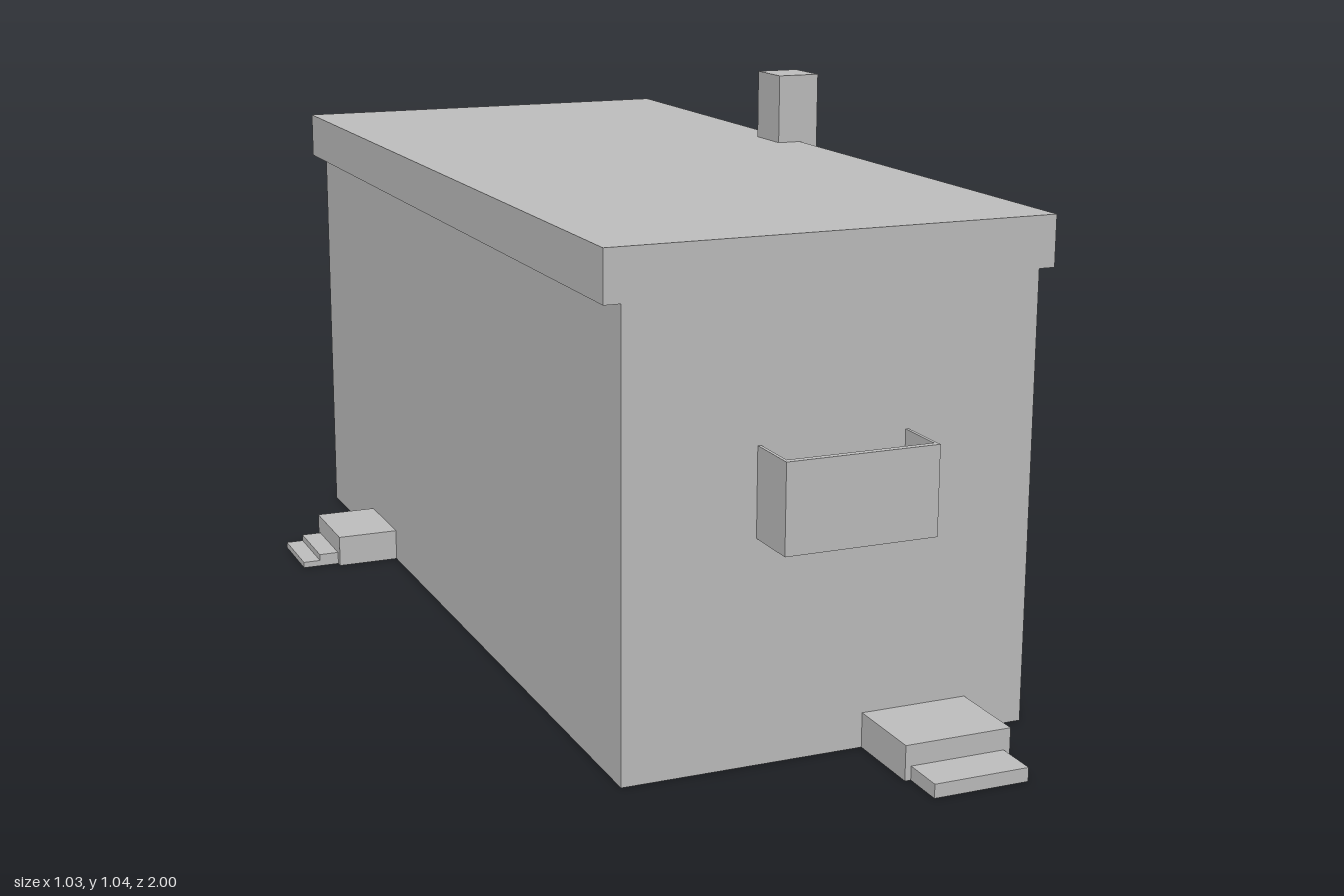
import * as THREE from 'three';

export function createModel() {
  const model = new THREE.Group();
  model.name = 'building';
  const plaster = new THREE.MeshStandardMaterial({ color: 0xc0c0c0 });
  plaster.name = 'light grey';

  // Box given by its lower and upper corners
  const block = (name, [x0, y0, z0], [x1, y1, z1], parent = model) => {
    const mesh = new THREE.Mesh(new THREE.BoxGeometry(x1 - x0, y1 - y0, z1 - z0), plaster);
    mesh.position.set((x0 + x1) / 2, (y0 + y1) / 2, (z0 + z1) / 2);
    mesh.name = name;
    parent.add(mesh);
  };
  const group = (name) => {
    const g = new THREE.Group();
    g.name = name;
    model.add(g);
    return g;
  };

  // Main volume, with a roof overhanging the long sides only
  block('walls', [-0.315, 0, -1], [0.445, 0.812, 0.77]);
  block('roof', [-0.345, 0.812, -1], [0.475, 0.903, 0.77]);

  // Chimney running up the side wall
  block('chimney', [0.427, 0, -0.29], [0.514, 1.04, -0.19]);

  // Balcony: floor, front panel and two thin side panels
  const balcony = group('balcony');
  block('balconyFloor', [-0.075, 0.4, 0.77], [0.204, 0.408, 0.875], balcony);
  block('balconyFront', [-0.075, 0.4, 0.863], [0.204, 0.558, 0.875], balcony);
  for (const x of [-0.075, 0.198]) {
    block('balconySide', [x, 0.4, 0.77], [x + 0.006, 0.558, 0.875], balcony);
  }

  // Front entrance: landing and one step
  const frontSteps = group('frontSteps');
  block('landing', [0.13, 0, 0.77], [0.33, 0.063, 0.922], frontSteps);
  block('step', [0.141, 0, 0.922], [0.318, 0.025, 1], frontSteps);

  // Side entrance: landing and two steps
  const sideSteps = group('sideSteps');
  block('landing', [-0.44, 0, -0.685], [-0.315, 0.063, -0.51], sideSteps);
  block('upperStep', [-0.48, 0, -0.673], [-0.44, 0.025, -0.525], sideSteps);
  block('lowerStep', [-0.515, 0, -0.673], [-0.48, 0.012, -0.525], sideSteps);

  return model;
}
